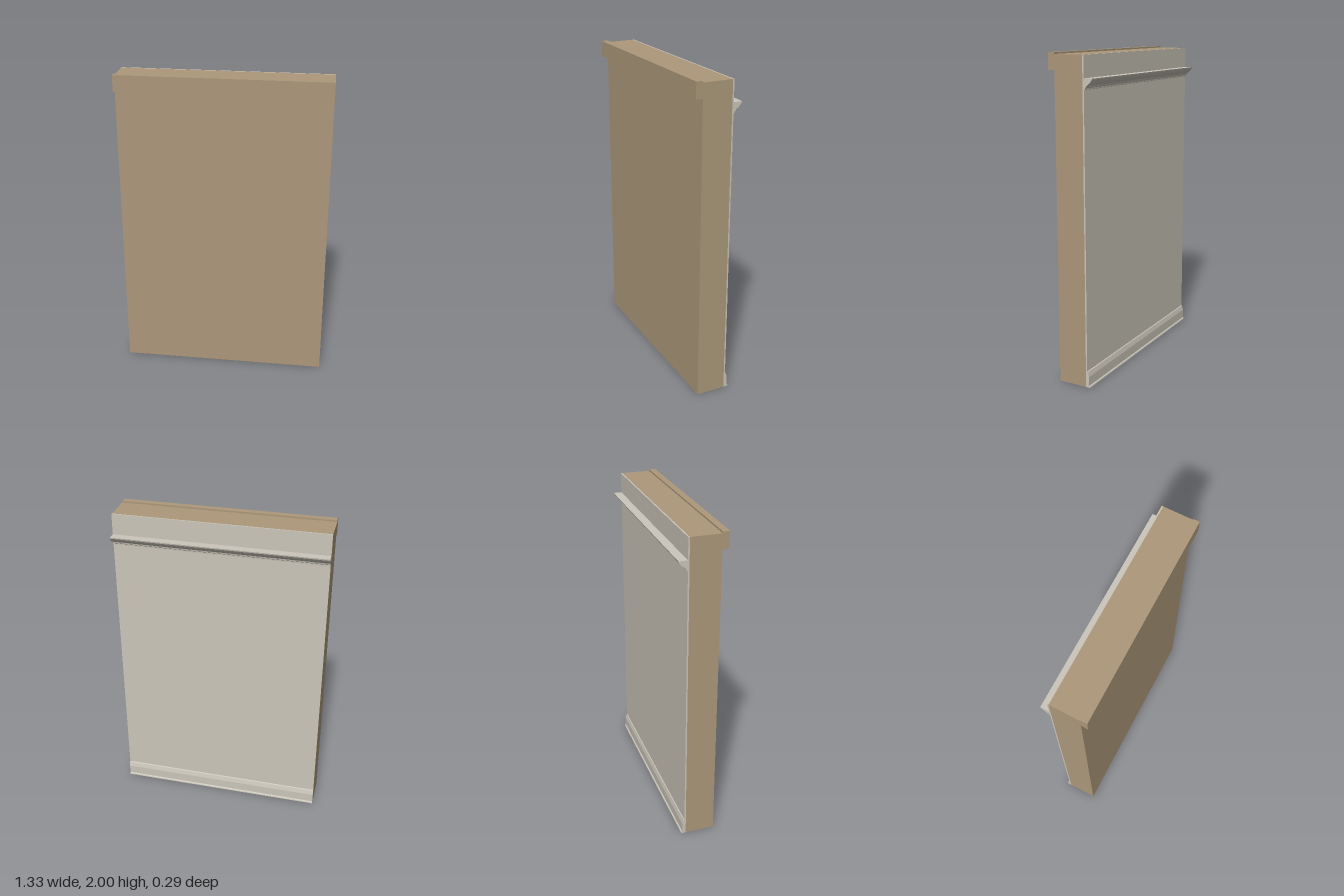
import * as THREE from 'three';

const WIDTH = 1.33;

export function createModel() {
  const model = new THREE.Group();
  model.name = 'wallPanel';
  const tan = new THREE.MeshStandardMaterial({ name: 'tan', color: 0xac987a });
  const plaster = new THREE.MeshStandardMaterial({ name: 'plaster', color: 0xcbc6ba });

  // Runs a [z, y] profile along the whole width
  function run(name, profile, material) {
    const shape = new THREE.Shape(profile.map(([z, y]) => new THREE.Vector2(z, y)));
    const geometry = new THREE.ExtrudeGeometry(shape, { depth: WIDTH, bevelEnabled: false });
    geometry.rotateY(-Math.PI / 2).translate(WIDTH / 2, 0, 0);
    const mesh = new THREE.Mesh(geometry, material);
    mesh.name = name;
    model.add(mesh);
  }

  // Wall core and the band along the top of its front
  run('wall', [[-0.083, 0], [0.104, 0], [0.104, 1.99], [-0.083, 1.99]], tan);
  run('topBand', [[0.104, 1.9], [0.146, 1.9], [0.146, 2], [0.104, 2]], tan);

  // Thin plaster facing on the back
  run('plasterFacing', [[-0.092, 0], [-0.083, 0], [-0.083, 1.99], [-0.092, 1.99]], plaster);

  // Crown moulding with a coved underside
  run('crownMoulding', [
    [-0.092, 1.86], [-0.146, 1.86], [-0.144, 1.852], [-0.133, 1.838], [-0.121, 1.826],
    [-0.108, 1.818], [-0.106, 1.81], [-0.099, 1.805], [-0.098, 1.797], [-0.092, 1.795],
  ], plaster);

  // Skirting board with a rounded top and a small foot
  run('skirtingBoard', [
    [-0.092, 0], [-0.113, 0], [-0.112, 0.007], [-0.105, 0.012], [-0.105, 0.07],
    [-0.101, 0.085], [-0.097, 0.1], [-0.092, 0.104],
  ], plaster);

  return model;
}
